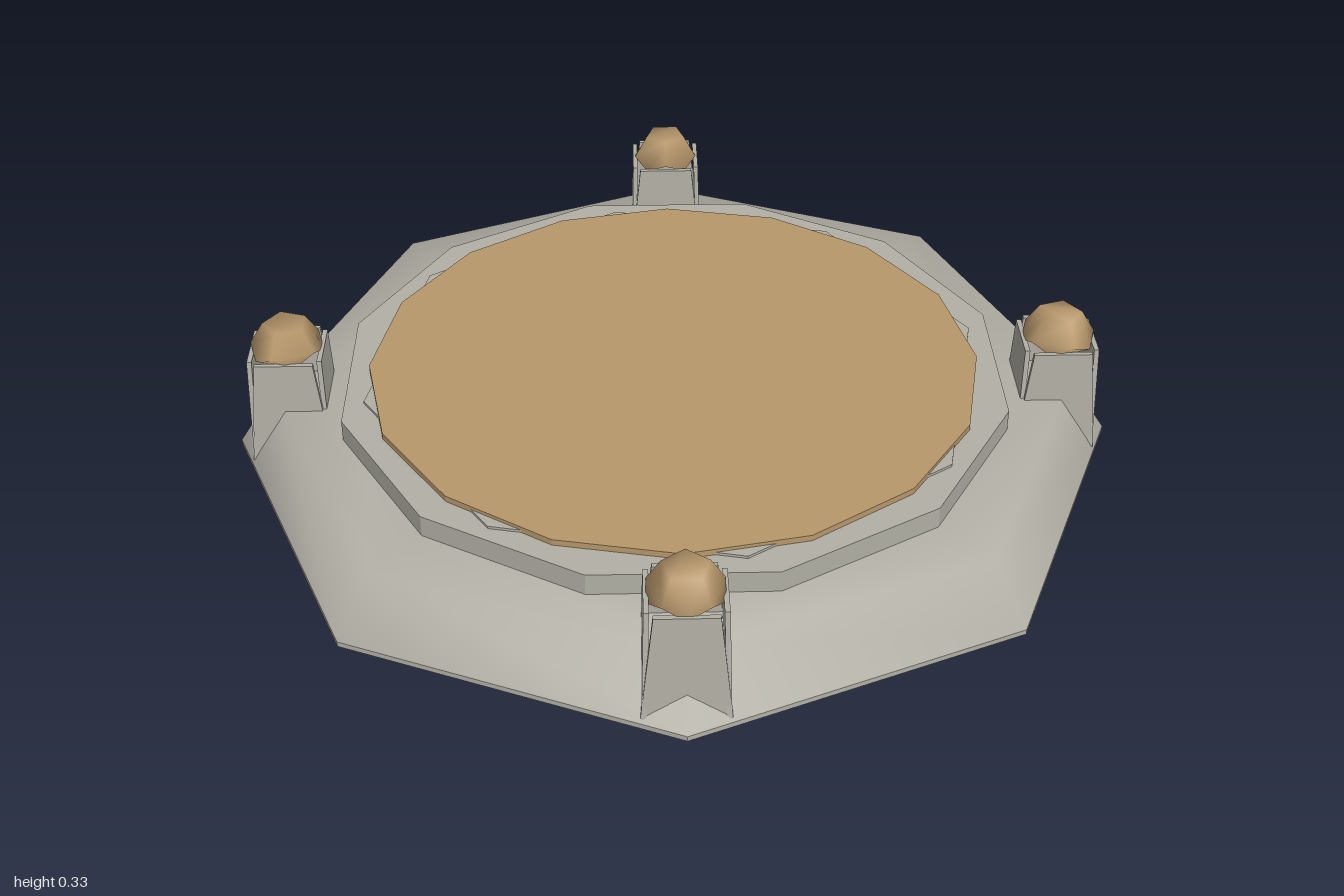
import * as THREE from 'three';
import { mergeVertices } from 'three/addons/utils/BufferGeometryUtils.js';

export function createModel() {
  const model = new THREE.Group();
  model.name = 'stonePlatform';
  const stone = new THREE.MeshStandardMaterial({ color: 0xb2b0a6 });
  stone.name = 'stone';
  const sand = new THREE.MeshStandardMaterial({ color: 0xb8986c });
  sand.name = 'sand';

  const add = (parent, geometry, material, name) => {
    const mesh = new THREE.Mesh(geometry, material);
    mesh.name = name;
    parent.add(mesh);
    return mesh;
  };
  // Faceted upright disc between two heights
  const disc = (radius, bottom, top, sides) => {
    const g = new THREE.CylinderGeometry(radius, radius, top - bottom, sides).toNonIndexed();
    g.computeVertexNormals();
    return g.translate(0, (top + bottom) / 2, 0);
  };

  // Octagonal base: thin footing and a softly shaded sloping shell
  add(model, disc(1, 0, 0.012, 8), stone, 'footing');
  const profile = [[1, 0.012], [0.91, 0.15], [0.7, 0.15]].map(p => new THREE.Vector2(...p));
  add(model, new THREE.LatheGeometry(profile, 8), stone, 'baseSlope');

  // Raised step, twisted octagonal slab and round floor
  add(model, disc(0.76, 0.14, 0.2, 12), stone, 'step');
  add(model, disc(0.703, 0.19, 0.206, 8), stone, 'innerSlab').rotation.y = 0.187;
  add(model, disc(0.69, 0.195, 0.214, 16), sand, 'floor');

  // Tapered post panel, wider and further out at its foot
  const panel = new THREE.BoxGeometry(1, 1, 1).toNonIndexed();
  const p = panel.attributes.position;
  for (let i = 0; i < p.count; i++) {
    const foot = p.getY(i) < 0;
    const outer = p.getZ(i) > 0;
    p.setXYZ(i,
      Math.sign(p.getX(i)) * (foot ? 0.092 : 0.065),
      foot ? 0.01 : 0.27,
      (foot ? 0.089 : 0.083) - (outer ? 0 : 0.011));
  }
  panel.computeVertexNormals();

  // Smooth twelve-sided knob, standing on a face and cut flat below
  let knob = new THREE.DodecahedronGeometry(0.083);
  knob.deleteAttribute('normal');
  knob.deleteAttribute('uv');
  knob = mergeVertices(knob, 1e-4);
  knob.rotateY(-Math.atan(0.618)).rotateX(-Math.PI / 2);
  knob.computeVertexNormals();
  const k = knob.attributes.position;
  for (let i = 0; i < k.count; i++) k.setY(i, Math.max(k.getY(i), -0.005));

  // Four hollow corner posts
  for (const sx of [-1, 1]) for (const sz of [-1, 1]) {
    const post = new THREE.Group();
    post.name = 'cornerPost';
    post.position.set(sx * 0.614, 0, sz * 0.614);
    post.rotation.y = Math.atan2(sx, sz);
    for (let i = 0; i < 4; i++) add(post, panel, stone, 'postPanel').rotation.y = i * Math.PI / 2;
    const top = add(post, knob, sand, 'knob');
    top.position.y = 0.266;
    top.rotation.y = (sx === sz ? -1 : 1) * Math.PI / 2;
    model.add(post);
  }
  return model;
}
